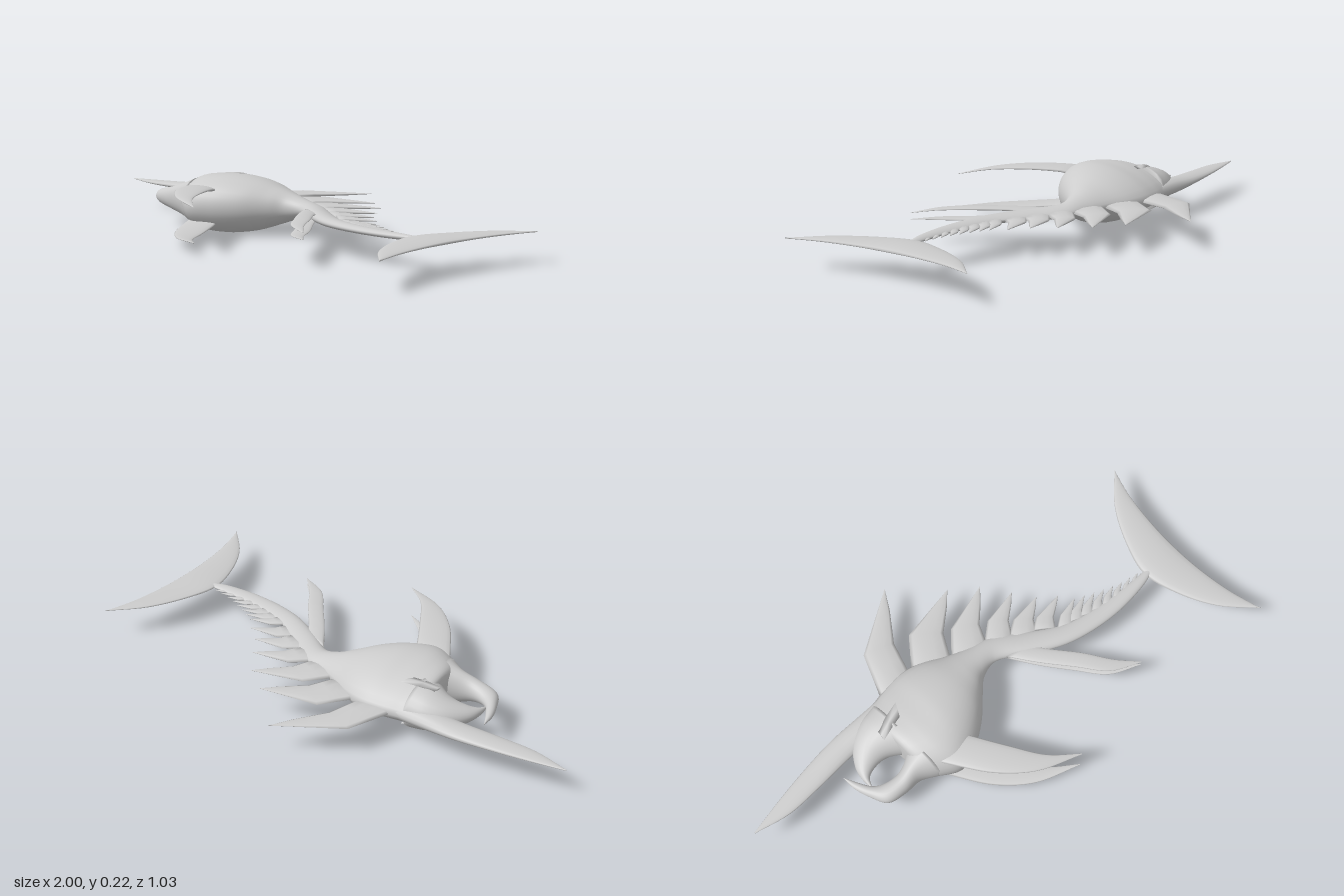
import * as THREE from 'three';

const MID = 0.113; // height of the plane the fish lies in
const material = new THREE.MeshStandardMaterial({ color: 0xcccccc, side: THREE.DoubleSide });

// Smooth loft. Station: [upper edge x, z, lower edge x, z, half thickness, optional centre height].
// skew < 1 moves the thickest point towards the lower edge.
function loft(name, stations, { steps = 6, sides = 16, skew = 1, linear = false } = {}) {
  const path = (fn) => {
    const points = stations.map(fn);
    if (!linear) return new THREE.CatmullRomCurve3(points);
    const curve = new THREE.CurvePath();
    for (let i = 1; i < points.length; i++) curve.add(new THREE.LineCurve3(points[i - 1], points[i]));
    curve.getPoint = (t) => {
      const f = t * (points.length - 1), i = Math.min(Math.floor(f), points.length - 2);
      return points[i].clone().lerp(points[i + 1], f - i);
    };
    return curve;
  };
  const upper = path((s) => new THREE.Vector3(s[0], 0, s[1]));
  const lower = path((s) => new THREE.Vector3(s[2], 0, s[3]));
  const depth = path((s, i) => new THREE.Vector3(s[4], s[5] ?? MID, i));
  const rings = (stations.length - 1) * steps;
  const positions = [], index = [];
  for (let i = 0; i <= rings; i++) {
    const t = i / rings, a = upper.getPoint(t), b = lower.getPoint(t), d = depth.getPoint(t);
    for (let j = 0; j < sides; j++) {
      const angle = (j / sides) * Math.PI * 2;
      const p = a.clone().lerp(b, Math.pow((1 - Math.cos(angle)) / 2, skew));
      positions.push(p.x, d.y + Math.sin(angle) * Math.max(d.x, 0.0005), p.z);
      if (i < rings) {
        const k = (j + 1) % sides, r = i * sides, q = r + sides;
        index.push(r + j, r + k, q + j, r + k, q + k, q + j);
      }
    }
  }
  // Close both ends
  for (let j = 1; j < sides - 1; j++) {
    const e = rings * sides;
    index.push(0, j + 1, j, e, e + j, e + j + 1);
  }
  const geometry = new THREE.BufferGeometry();
  geometry.setAttribute('position', new THREE.Float32BufferAttribute(positions, 3));
  geometry.setIndex(index);
  geometry.computeVertexNormals();
  // Turn the faces outward if the loft runs the other way
  let facing = 0;
  const normal = geometry.attributes.normal;
  for (let i = 0; i < normal.count; i++) facing += normal.getY(i) * Math.sin(((i % sides) / sides) * Math.PI * 2);
  if (facing < 0) {
    geometry.setIndex(index.reverse());
    geometry.computeVertexNormals();
  }
  const mesh = new THREE.Mesh(geometry, material);
  mesh.name = name;
  return mesh;
}

export function createModel() {
  const model = new THREE.Group();
  model.name = 'swordFish';

  // Body and curved tail stalk
  model.add(loft('body', [
    [-0.41, -0.10, -0.40, 0.05, 0.05],
    [-0.395, -0.185, -0.385, 0.14, 0.088],
    [-0.33, -0.205, -0.33, 0.19, 0.104],
    [-0.27, -0.217, -0.27, 0.214, 0.11],
    [-0.20, -0.222, -0.19, 0.185, 0.111],
    [-0.12, -0.205, -0.10, 0.125, 0.096],
    [-0.02, -0.155, -0.02, 0.045, 0.066],
    [0.06, -0.125, 0.03, 0.0, 0.044],
    [0.16, -0.095, 0.10, -0.015, 0.026],
    [0.27, -0.02, 0.22, 0.055, 0.02],
    [0.40, 0.055, 0.37, 0.125, 0.016],
    [0.56, 0.09, 0.56, 0.155, 0.013],
    [0.72, 0.10, 0.73, 0.142, 0.011],
    [0.81, 0.10, 0.81, 0.118, 0.006],
  ], { sides: 32, skew: 0.75 }));

  // Jaws around the open mouth
  model.add(loft('upperJaw', [
    [-0.575, 0.04, -0.57, 0.042, 0.003],
    [-0.577, -0.01, -0.55, 0.005, 0.016],
    [-0.565, -0.06, -0.50, -0.012, 0.032],
    [-0.51, -0.135, -0.45, -0.008, 0.055],
    [-0.44, -0.175, -0.40, 0.02, 0.077],
    [-0.36, -0.19, -0.36, 0.06, 0.092],
  ], { sides: 24 }));
  model.add(loft('lowerJaw', [
    [-0.625, -0.057, -0.623, -0.057, 0.002],
    [-0.622, 0.0, -0.595, -0.005, 0.012],
    [-0.60, 0.065, -0.565, 0.04, 0.02],
    [-0.565, 0.125, -0.53, 0.06, 0.03],
    [-0.49, 0.14, -0.47, 0.068, 0.045],
    [-0.42, 0.14, -0.41, 0.045, 0.068],
    [-0.35, 0.175, -0.36, 0.0, 0.09],
  ], { sides: 24 }));

  // Long sword on the forehead
  model.add(loft('sword', [
    [-1.0, -0.122, -0.998, -0.118, 0.002],
    [-0.85, -0.155, -0.86, -0.088, 0.008],
    [-0.72, -0.178, -0.72, -0.09, 0.013],
    [-0.57, -0.197, -0.55, -0.10, 0.022],
    [-0.43, -0.2, -0.43, -0.10, 0.032],
    [-0.3, -0.2, -0.3, -0.12, 0.03],
  ]));

  // Crescent tail fin
  model.add(loft('tailFin', [
    [0.995, -0.29, 0.99, -0.285, 0.002],
    [0.88, -0.17, 0.955, -0.16, 0.007],
    [0.80, -0.02, 0.935, -0.01, 0.01],
    [0.765, 0.11, 0.93, 0.11, 0.013],
    [0.80, 0.25, 0.935, 0.24, 0.01],
    [0.875, 0.39, 0.955, 0.38, 0.007],
    [0.995, 0.515, 0.99, 0.51, 0.002],
  ]));

  // Row of swept dorsal spines: [front base x, z, rear base x, z, corner x, z, tip x, z]
  const spines = [
    [-0.32, -0.19, -0.17, -0.20, -0.25, -0.37, -0.01, -0.52],
    [-0.16, -0.20, -0.01, -0.15, -0.07, -0.315, 0.165, -0.355],
    [-0.02, -0.13, 0.125, -0.09, 0.065, -0.225, 0.265, -0.28],
    [0.11, -0.09, 0.22, -0.05, 0.19, -0.155, 0.34, -0.18],
    [0.20, -0.05, 0.30, 0.0, 0.265, -0.092, 0.395, -0.102],
    [0.29, -0.01, 0.36, 0.04, 0.335, -0.04, 0.46, -0.05],
  ];
  for (let i = 0; i < 8; i++) { // small ones fading out towards the tail
    const x = 0.365 + i * 0.048, z = 0.045 + 0.06 * Math.sin((i / 7) * 1.57), s = 0.1 - i * 0.009;
    spines.push([x, z, x + s * 0.6, z + s * 0.25, x + s * 0.45, z - s * 0.3, x + s * 1.35, z - s * 0.45]);
  }
  const dorsal = new THREE.Group();
  dorsal.name = 'dorsalSpines';
  for (const [fx, fz, rx, rz, cx, cz, tx, tz] of spines) {
    const h = 0.012 * Math.min(1, Math.hypot(tx - fx, tz - fz) * 4) + 0.002;
    const mix = (a, b, t) => a + (b - a) * t;
    dorsal.add(loft('dorsalSpine', [
      [fx, fz, rx, rz, h],
      [cx, cz, mix(rx, tx, 0.35) - (tx - cx) * 0.08, mix(rz, tz, 0.4), h * 0.7],
      [mix(cx, tx, 0.5), mix(cz, tz, 0.5), mix(rx, tx, 0.72), mix(rz, tz, 0.75), h * 0.4],
      [tx, tz, tx, tz, 0.001],
    ], { linear: true, steps: 2, sides: 10 }));
  }
  model.add(dorsal);

  // Paired fins and eyes on both flanks
  for (const side of [1, -1]) {
    const label = side > 0 ? 'upper' : 'lower';
    const y = (offset) => MID + side * offset;
    model.add(loft(label + 'PectoralFin', [
      [-0.20, 0.12, -0.36, 0.11, 0.014, y(0.055)],
      [-0.175, 0.17, -0.305, 0.20, 0.011, y(0.069)],
      [-0.11, 0.28, -0.22, 0.32, 0.008, y(0.076)],
      [-0.03, 0.40, -0.10, 0.42, 0.005, y(0.074)],
      [0.07, 0.482, 0.068, 0.484, 0.001, y(0.064)],
    ]));
    model.add(loft(label + 'PelvicFin', [
      [0.24, 0.03, 0.14, 0.0, 0.008, y(0.008)],
      [0.275, 0.085, 0.21, 0.10, 0.007, y(0.015)],
      [0.36, 0.19, 0.30, 0.21, 0.006, y(0.02)],
      [0.43, 0.29, 0.385, 0.31, 0.004, y(0.018)],
      [0.50, 0.362, 0.498, 0.364, 0.001, y(0.012)],
    ]));
    // Slanted eye plate lying on the cheek
    model.add(loft(label + 'Eye', [
      [-0.425, -0.085, -0.43, -0.045, 0.006, y(0.075)],
      [-0.37, -0.105, -0.38, -0.058, 0.006, y(0.087)],
      [-0.305, -0.122, -0.33, -0.07, 0.006, y(0.091)],
    ], { linear: true, steps: 1, sides: 4 }));
  }
  return model;
}
